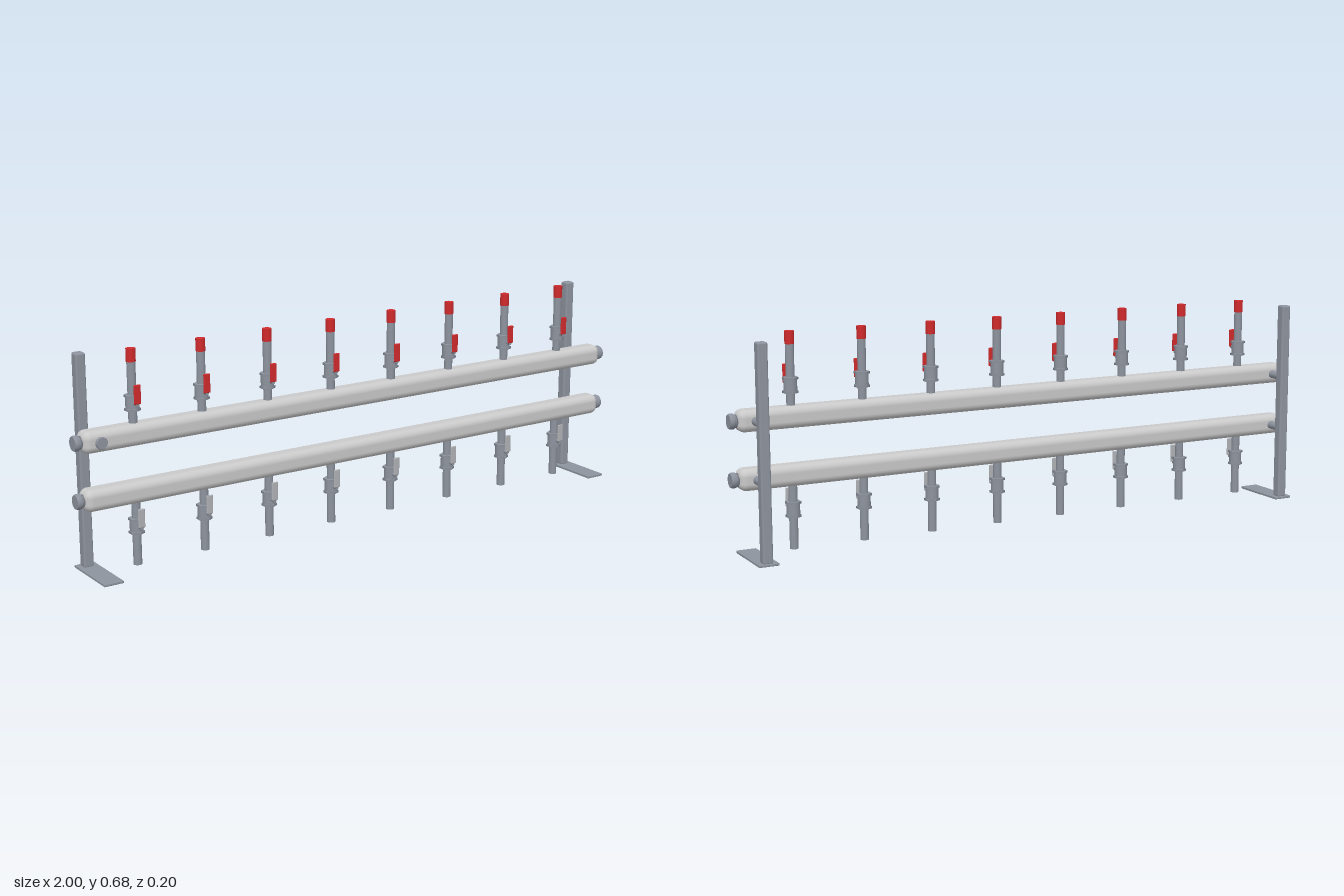
import * as THREE from 'three';
import { RoundedBoxGeometry } from 'three/addons/geometries/RoundedBoxGeometry.js';

const mat = (name, color) => {
  const m = new THREE.MeshStandardMaterial({ color });
  m.name = name;
  return m;
};

export function createModel() {
  const lightSteel = mat('light steel', 0xc9c9c9);
  const pipeGrey = mat('pipe grey', 0x8d939e);
  const red = mat('red', 0xd02a2c);
  const leverGrey = mat('lever grey', 0xb0b2b5);

  const root = new THREE.Group();
  root.name = 'pipeManifold';
  const Z = 0.014; // depth of the pipe axes

  const add = (parent, name, geo, material, x, y, z) => {
    const m = new THREE.Mesh(geo, material);
    m.name = name;
    m.position.set(x, y, z);
    parent.add(m);
    return m;
  };
  const cyl = (r, h, n = 24, axis = 'y') => {
    const g = new THREE.CylinderGeometry(r, r, h, n);
    if (axis === 'x') g.rotateZ(Math.PI / 2);
    if (axis === 'z') g.rotateX(Math.PI / 2);
    return g;
  };
  // Round plug with bevelled rim, pointing along +y from 0 to h
  const plug = (r, h) => new THREE.LatheGeometry([
    [0, 0], [r * 0.85, 0], [r * 0.85, h * 0.3], [r * 0.85, h * 0.3], [r, h * 0.4],
    [r, h * 0.8], [r * 0.9, h], [r * 0.9, h], [0, h],
  ].map(([x, y]) => new THREE.Vector2(x, y)), 24);

  // Header pipes with an end plug on each side
  const headers = [0.42, 0.244];
  headers.forEach((y, i) => {
    const header = new THREE.Group();
    header.name = i ? 'lowerHeader' : 'upperHeader';
    root.add(header);
    add(header, 'headerPipe', new RoundedBoxGeometry(1.956, 0.067, 0.067, 5, 0.023), lightSteel, 0, y, Z);
    for (const s of [-1, 1]) {
      const p = add(header, 'endPlug', plug(0.0235, 0.024), pipeGrey, s * 0.976, y, Z);
      p.rotation.z = -s * Math.PI / 2;
    }
  });

  // Small port on the front of the upper header
  const port = add(root, 'frontPort', plug(0.0185, 0.013), pipeGrey, -0.927, 0.42, 0.046);
  port.rotation.x = Math.PI / 2;

  // Posts with foot plates and arms to the headers
  for (const s of [-1, 1]) {
    const stand = new THREE.Group();
    stand.name = s > 0 ? 'leftStand' : 'rightStand';
    stand.position.x = s * 0.927;
    root.add(stand);
    add(stand, 'post', new RoundedBoxGeometry(0.032, 0.657, 0.032, 3, 0.006), pipeGrey, 0, 0.3335, -0.078);
    add(stand, 'footPlate', new RoundedBoxGeometry(0.063, 0.008, 0.2, 2, 0.002), pipeGrey, 0, 0.004, 0);
    for (const y of headers) add(stand, 'arm', cyl(0.0132, 0.056, 24, 'z'), pipeGrey, 0, y, -0.04);
  }

  // Shut-off valve centred on its own origin
  const makeValve = (leverMaterial) => {
    const valve = new THREE.Group();
    valve.name = 'valve';
    add(valve, 'valveBody', cyl(0.0205, 0.046), pipeGrey, 0, 0, 0);
    for (const s of [-1, 1]) add(valve, 'hexNut', cyl(0.0245, 0.007, 6), pipeGrey, 0, s * 0.0205, 0);
    add(valve, 'leverStem', cyl(0.006, 0.018, 16, 'z'), pipeGrey, 0, 0, 0.0255);
    add(valve, 'lever', new RoundedBoxGeometry(0.022, 0.059, 0.006, 2, 0.0028), leverMaterial, 0, 0.0305, 0.034);
    return valve;
  };

  // Eight branches: capped risers above, open outlets below
  for (let i = 0; i < 8; i++) {
    const branch = new THREE.Group();
    branch.name = 'branch';
    branch.position.set(-0.805 + i * 0.23, 0, Z);
    root.add(branch);

    add(branch, 'riser', cyl(0.0132, 0.2), pipeGrey, 0, 0.54, 0);
    add(branch, 'riserCap', cyl(0.0145, 0.039), red, 0, 0.6565, 0);
    const upper = makeValve(red);
    upper.position.y = 0.514;

    add(branch, 'outlet', cyl(0.0132, 0.205), pipeGrey, 0, 0.1175, 0);
    const lower = makeValve(leverGrey);
    lower.position.y = 0.137;
    branch.add(upper, lower);
  }
  return root;
}
